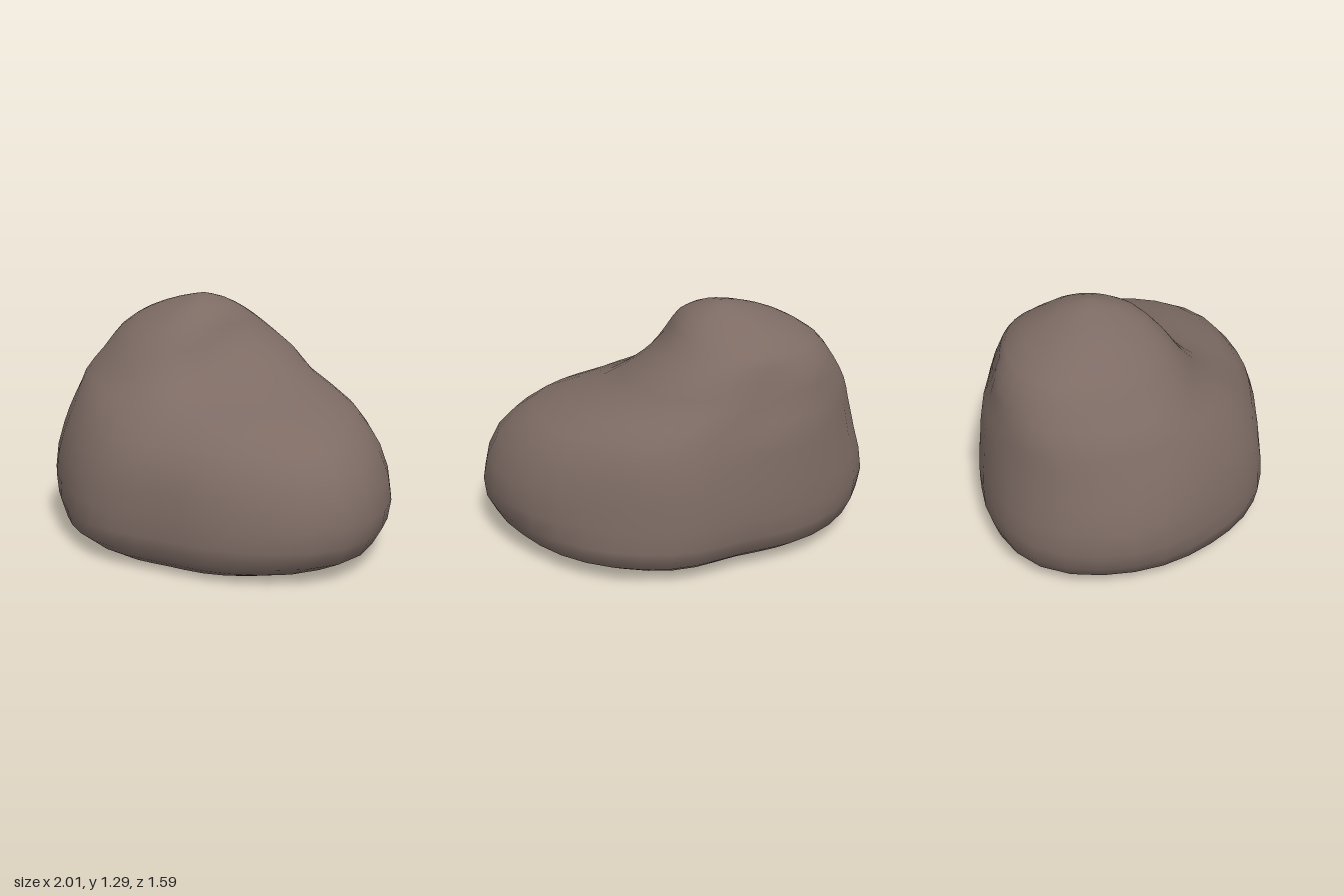
import * as THREE from 'three';
import { mergeVertices } from 'three/addons/utils/BufferGeometryUtils.js';

const COLUMNS = 36, STEPS = 2;

// Cross-sections of the boulder: height, centre, and radii every 30 degrees from +x towards +z
const sections = [
  { y: 0.10, c: [0, 0], r: [0.92, 1.01, 0.88, 0.765, 0.81, 0.84, 0.91, 0.96, 0.85, 0.735, 0.81, 0.87] },
  { y: 0.30, c: [0, 0], r: [0.99, 1.06, 0.895, 0.775, 0.82, 0.87, 0.995, 1.03, 0.88, 0.775, 0.82, 0.87] },
  { y: 0.55, c: [0, 0], r: [0.92, 0.97, 0.82, 0.725, 0.755, 0.82, 0.94, 0.98, 0.86, 0.75, 0.79, 0.82] },
  { y: 0.72, c: [0, 0], r: [0.77, 0.76, 0.65, 0.58, 0.64, 0.75, 0.87, 0.94, 0.84, 0.72, 0.73, 0.73] },
  { y: 0.86, c: [-0.15, -0.15], r: [0.62, 0.59, 0.52, 0.57, 0.6, 0.66, 0.68, 0.7, 0.61, 0.54, 0.57, 0.6] },
  { y: 0.98, c: [-0.2, -0.18], r: [0.5, 0.45, 0.43, 0.49, 0.52, 0.53, 0.55, 0.58, 0.54, 0.475, 0.5, 0.53] },
  { y: 1.10, c: [-0.22, -0.2], r: [0.36, 0.34, 0.38, 0.42, 0.42, 0.42, 0.44, 0.46, 0.43, 0.41, 0.41, 0.39] },
  { y: 1.20, c: [-0.2, -0.18], r: [0.25, 0.25, 0.27, 0.28, 0.26, 0.27, 0.3, 0.3, 0.28, 0.27, 0.26, 0.26] },
];

// Foot and crown reuse the nearest section, scaled in x and z
const lowest = sections[0], highest = sections[sections.length - 1];
const levels = [
  { ...lowest, y: 0, c: [0, 0.03], s: [0.71, 0.8] },
  ...sections,
  { ...highest, y: 1.26, c: [-0.18, -0.18], s: [0.5, 0.52] },
  { ...highest, y: 1.295, c: [-0.17, -0.18], s: [0, 0] },
];

// Smooth periodic interpolation of the radii
function radiusAt(r, turn) {
  const f = turn * r.length, i = Math.floor(f), t = f - i;
  const [a, b, c, d] = [-1, 0, 1, 2].map((k) => r[(i + k + r.length) % r.length]);
  return b + 0.5 * t * (c - a + t * (2 * a - 5 * b + 4 * c - d + t * (3 * (b - c) + d - a)));
}

// One vertical line of points up the side of the boulder
function column(turn) {
  const angle = turn * Math.PI * 2;
  const points = levels.map(({ y, c, r, s = [1, 1] }) => {
    const radius = radiusAt(r, turn);
    return new THREE.Vector3(
      c[0] + Math.cos(angle) * radius * s[0], y, c[1] + Math.sin(angle) * radius * s[1]);
  });
  const line = new THREE.CatmullRomCurve3(points).getPoints((levels.length - 1) * STEPS);
  line.forEach((p) => { p.y = Math.max(0, p.y); });
  return line;
}

function meshGeometry(positions, index) {
  const geometry = new THREE.BufferGeometry();
  geometry.setAttribute('position', new THREE.Float32BufferAttribute(positions, 3));
  geometry.setIndex(index);
  return geometry;
}

export function createModel() {
  const group = new THREE.Group();
  group.name = 'boulder';
  const stone = new THREE.MeshStandardMaterial({ color: 0x7d6b64 });
  stone.name = 'brown stone';

  const columns = Array.from({ length: COLUMNS }, (_, i) => column(i / COLUMNS));
  const rows = columns[0].length;

  // Rock body: skin between neighbouring columns
  const index = [];
  for (let i = 0; i < COLUMNS; i++) {
    const n = (i + 1) % COLUMNS;
    for (let j = 0; j < rows - 1; j++) {
      const a = i * rows + j, b = n * rows + j;
      index.push(a, a + 1, b);
      if (j < rows - 2) index.push(b, a + 1, b + 1);
    }
  }
  const skin = mergeVertices(meshGeometry(columns.flat().flatMap((p) => p.toArray()), index), 1e-4);
  skin.computeVertexNormals();
  const body = new THREE.Mesh(skin, stone);
  body.name = 'rockBody';
  group.add(body);

  // Flat underside
  const rim = columns.flatMap((line) => line[0].toArray());
  const fan = [];
  for (let i = 0; i < COLUMNS; i++) fan.push(0, i + 1, ((i + 1) % COLUMNS) + 1);
  const base = meshGeometry([0, 0, 0, ...rim], fan);
  base.computeVertexNormals();
  const underside = new THREE.Mesh(base, stone);
  underside.name = 'underside';
  group.add(underside);

  return group;
}
